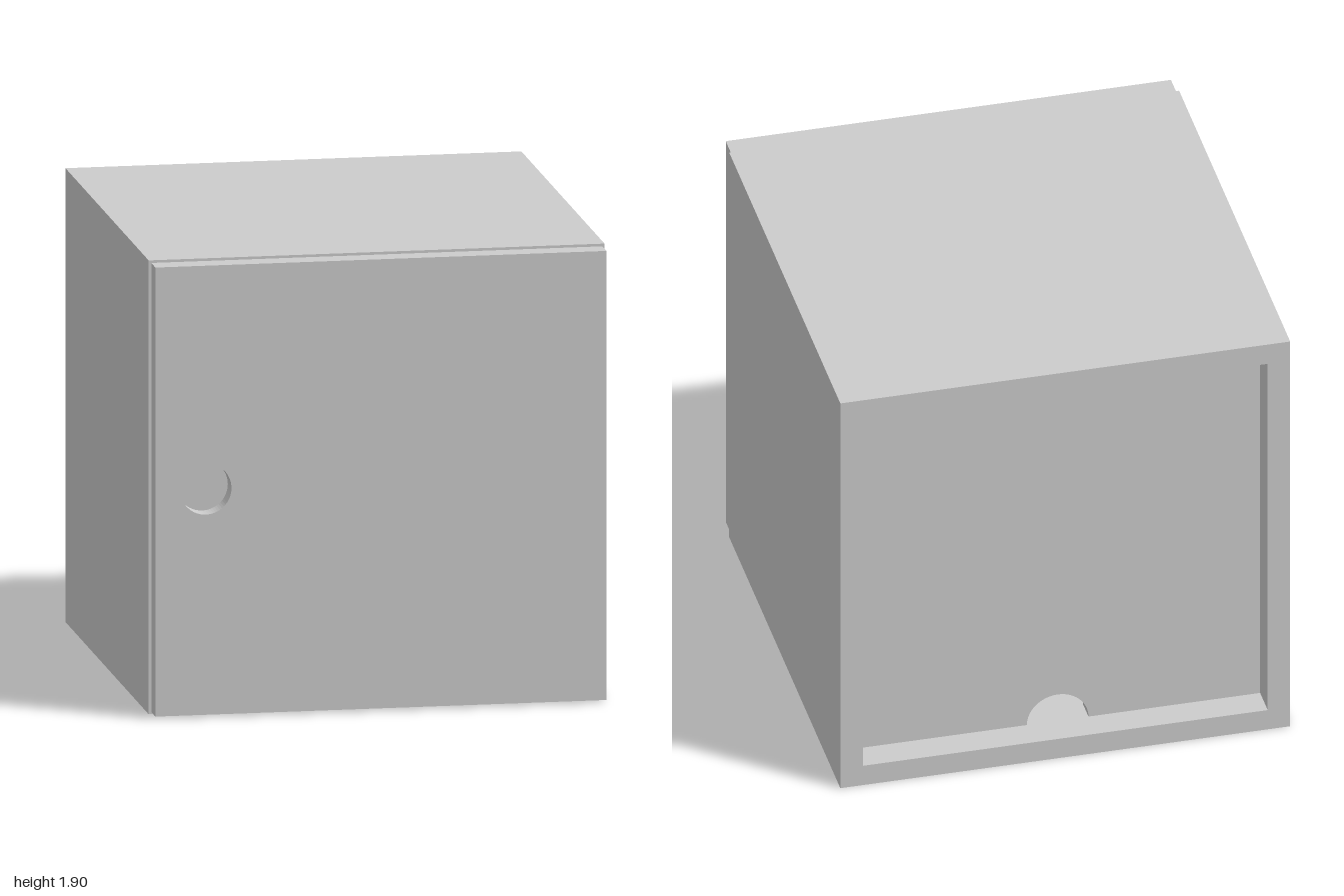
import * as THREE from 'three';

const W = 1.9;       // outer width and height of the cabinet
const T = 0.095;     // board thickness
const BACK = -1, FRONT = 0.9;

const material = new THREE.MeshStandardMaterial({ color: 0xcccccc });

function addMesh(parent, name, geometry, x = 0, y = 0, z = 0) {
  const mesh = new THREE.Mesh(geometry, material);
  mesh.name = name;
  mesh.position.set(x, y, z);
  parent.add(mesh);
  return mesh;
}

function rectangle(Type, x0, y0, x1, y1) {
  const shape = new Type();
  shape.moveTo(x0, y0);
  shape.lineTo(x1, y0);
  shape.lineTo(x1, y1);
  shape.lineTo(x0, y1);
  shape.closePath();
  return shape;
}

function extrude(shape, depth) {
  return new THREE.ExtrudeGeometry(shape, { depth, bevelEnabled: false, curveSegments: 32 });
}

export function createModel() {
  const cabinet = new THREE.Group();
  cabinet.name = 'cabinet';

  // Carcass: four boards forming a square tube
  const frame = rectangle(THREE.Shape, -W / 2, 0, W / 2, W);
  frame.holes.push(rectangle(THREE.Path, -W / 2 + T, T, W / 2 - T, W - T));
  addMesh(cabinet, 'carcass', extrude(frame, FRONT - BACK), 0, 0, BACK);

  // Inset back panel with a half-round cable notch at the bottom
  const inner = W / 2 - T, notch = 0.13;
  const panel = new THREE.Shape();
  panel.moveTo(-inner, T);
  panel.lineTo(-notch, T);
  panel.absarc(0, T, notch, Math.PI, 0, true);
  panel.lineTo(inner, T);
  panel.lineTo(inner, W - T);
  panel.lineTo(-inner, W - T);
  panel.closePath();
  addMesh(cabinet, 'backPanel', extrude(panel, T), 0, 0, BACK + 0.13);

  // Door, slightly smaller than the carcass, with a round finger pull
  const door = new THREE.Group();
  door.name = 'door';
  cabinet.add(door);
  const skin = 0.01, doorBack = 0.905, half = 0.94;
  const face = rectangle(THREE.Shape, -half, 0.01, half, 1.89);
  const pull = new THREE.Path();
  pull.absarc(-0.73, 0.955, 0.107, 0, Math.PI * 2, true);
  face.holes.push(pull);
  addMesh(door, 'doorFront', extrude(face, 1 - doorBack - skin), 0, 0, doorBack + skin);
  addMesh(door, 'doorBacking', new THREE.BoxGeometry(half * 2, 1.88, skin), 0, 0.95, doorBack + skin / 2);

  return cabinet;
}
